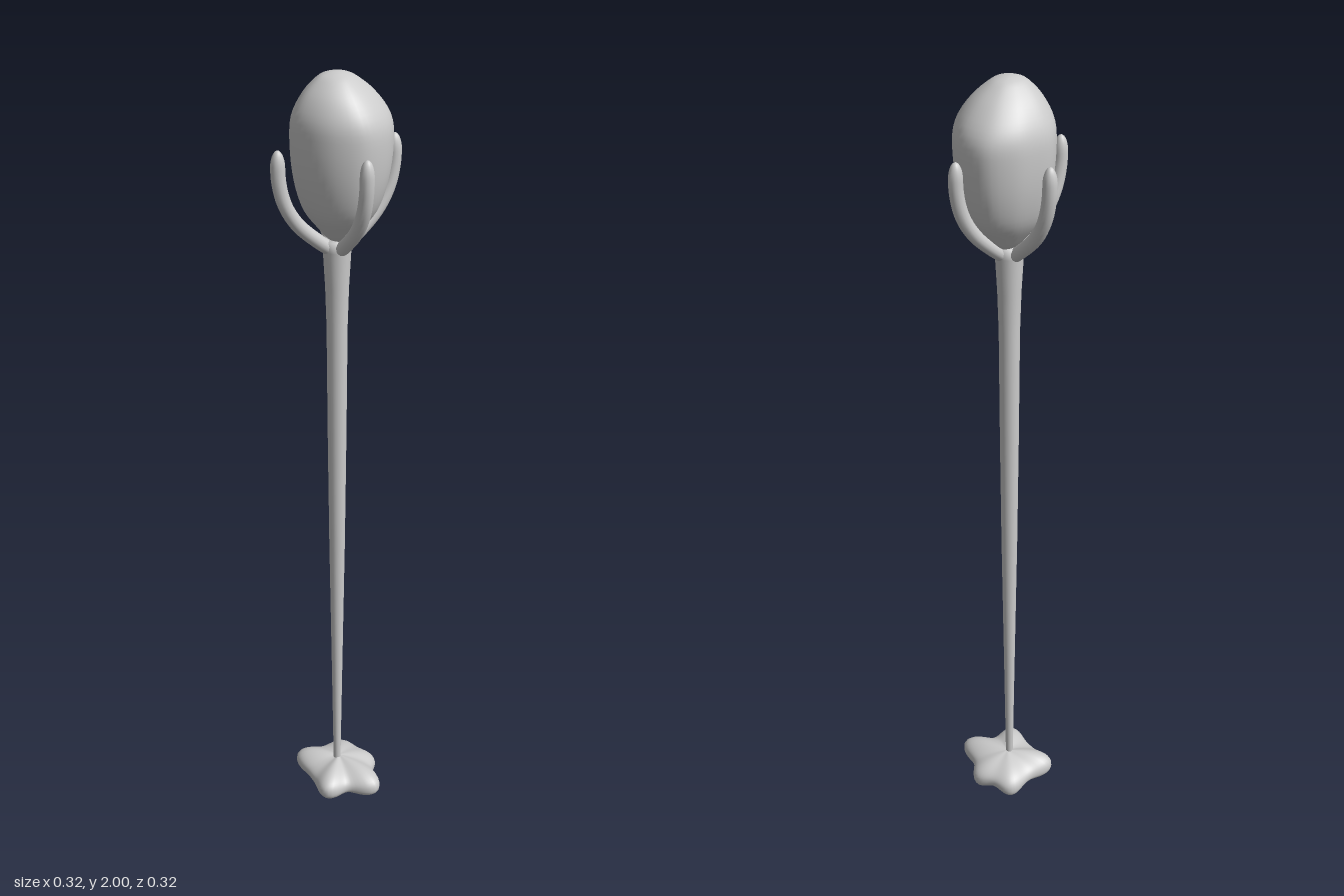
import * as THREE from 'three';

const material = new THREE.MeshStandardMaterial({ color: 0xcccccc });
const AXIS_X = -0.006;

// Skin a stack of closed rings (bottom to top) with smooth normals.
function loft(name, rings) {
  const n = rings[0].length, positions = [], index = [];
  for (const ring of rings) for (const p of ring) positions.push(p.x, p.y, p.z);
  for (let i = 0; i < rings.length - 1; i++) {
    for (let j = 0; j < n; j++) {
      const a = i * n + j, b = i * n + (j + 1) % n;
      index.push(a, a + n, b, b, a + n, b + n);
    }
  }
  const geometry = new THREE.BufferGeometry();
  geometry.setAttribute('position', new THREE.Float32BufferAttribute(positions, 3));
  geometry.setIndex(index);
  geometry.computeVertexNormals();
  const mesh = new THREE.Mesh(geometry, material);
  mesh.name = name;
  return mesh;
}

// One ring of points; fn maps an angle (x towards z) to a position.
const ring = (n, fn) => Array.from({ length: n }, (_, j) => fn((j / n) * Math.PI * 2));

// Uneven bud: a lumpy outline scaled along a height profile.
function makeBud() {
  const radii = [0.122, 0.119, 0.122, 0.125, 0.116, 0.112, 0.115, 0.108, 0.106, 0.1, 0.108, 0.121];
  const outline = new THREE.CatmullRomCurve3(radii.map((r, i) => {
    const a = (i / radii.length) * Math.PI * 2;
    return new THREE.Vector3(r * Math.cos(a), 0, r * Math.sin(a));
  }), true);
  const profile = new THREE.SplineCurve([
    [0, 1.605], [0.2, 1.615], [0.42, 1.64], [0.75, 1.69], [0.93, 1.76], [1, 1.84],
    [0.96, 1.9], [0.72, 1.95], [0.4, 1.985], [0.18, 1.997], [0, 2],
  ].map(([r, y]) => new THREE.Vector2(r, y)));
  const rings = profile.getPoints(40).map(({ x: s, y }) => {
    const top = THREE.MathUtils.smoothstep(y, 1.86, 2);
    return ring(48, (a) => {
      const p = outline.getPoint(a / (Math.PI * 2));
      const dent = 1 - 0.02 * (1 + Math.sin(3 * a + 18 * y)) * Math.sin(Math.PI * Math.min(s, 1));
      const k = Math.max(s, 0) * dent;
      return new THREE.Vector3(p.x * k - 0.014 * top, y, p.z * k + 0.008 * top);
    });
  });
  return loft('bud', rings);
}

// Curved prong rising outward along +x, with a rounded tip.
function makeProng() {
  const path = new THREE.CatmullRomCurve3([
    [0.005, 1.585], [0.045, 1.615], [0.098, 1.665], [0.128, 1.715], [0.142, 1.77], [0.144, 1.842],
  ].map(([x, y]) => new THREE.Vector3(x, y, 0)));
  const rings = [];
  for (let i = 0; i <= 32; i++) {
    const t = 1 - (1 - i / 32) ** 1.6;
    const c = path.getPointAt(t), d = path.getTangentAt(t);
    const cap = Math.sqrt(Math.max(0, 1 - Math.max(0, (t - 0.87) / 0.13) ** 2));
    const r = 0.0165 * cap;
    rings.push(ring(14, (a) => new THREE.Vector3(
      c.x + d.y * r * Math.cos(a), c.y - d.x * r * Math.cos(a), r * Math.sin(a))));
  }
  return loft('prong', rings);
}

// Squashed foot with five rounded lobes: [angle, extra reach, height shift].
function makeFoot() {
  const lobes = [[5, 0.02, -0.012], [68, 0.054, 0.002], [133, 0.036, 0.004], [225, 0.037, 0.006], [302, 0.022, -0.01]];
  const rings = [];
  for (let i = 0; i <= 28; i++) {
    const v = -Math.PI / 2 + (i / 28) * Math.PI;
    const across = Math.cos(v) ** 0.8;
    rings.push(ring(72, (a) => {
      let r = 0.086, lift = 0, bulge = 0;
      for (const [deg, reach, shift] of lobes) {
        let da = a - THREE.MathUtils.degToRad(deg);
        da = Math.atan2(Math.sin(da), Math.cos(da));
        const w = Math.exp(-((da / 0.38) ** 2));
        r += reach * w;
        lift += shift * w;
        bulge += w;
      }
      const half = 0.045 * (1 - across * 0.3 * (1 - Math.min(bulge, 1)));
      const y = 0.053 + half * Math.sign(v) * Math.abs(Math.sin(v)) ** 0.85 + lift * across;
      return new THREE.Vector3(r * across * Math.cos(a), Math.max(y, 0), r * across * Math.sin(a));
    }));
  }
  return loft('foot', rings);
}

// Slender stem, widening upwards to a small collar.
function makeStem() {
  const profile = [
    [0, 0.0], [0.009, 0.0], [0.01, 0.12], [0.014, 0.4], [0.02, 0.8], [0.023, 1.1],
    [0.025, 1.4], [0.028, 1.5], [0.033, 1.59], [0.032, 1.615], [0, 1.62],
  ].map(([r, y]) => new THREE.Vector2(r, y));
  const mesh = new THREE.Mesh(new THREE.LatheGeometry(profile, 20), material);
  mesh.name = 'stem';
  mesh.position.x = AXIS_X;
  return mesh;
}

export function createModel() {
  const model = new THREE.Group();
  model.name = 'budStaff';
  model.add(makeFoot(), makeStem(), makeBud());

  // Four prongs holding the bud
  const prongs = new THREE.Group();
  prongs.name = 'prongs';
  prongs.position.x = AXIS_X;
  for (let i = 0; i < 4; i++) {
    const prong = makeProng();
    prong.rotation.y = (i * Math.PI) / 2;
    prongs.add(prong);
  }
  model.add(prongs);
  return model;
}
